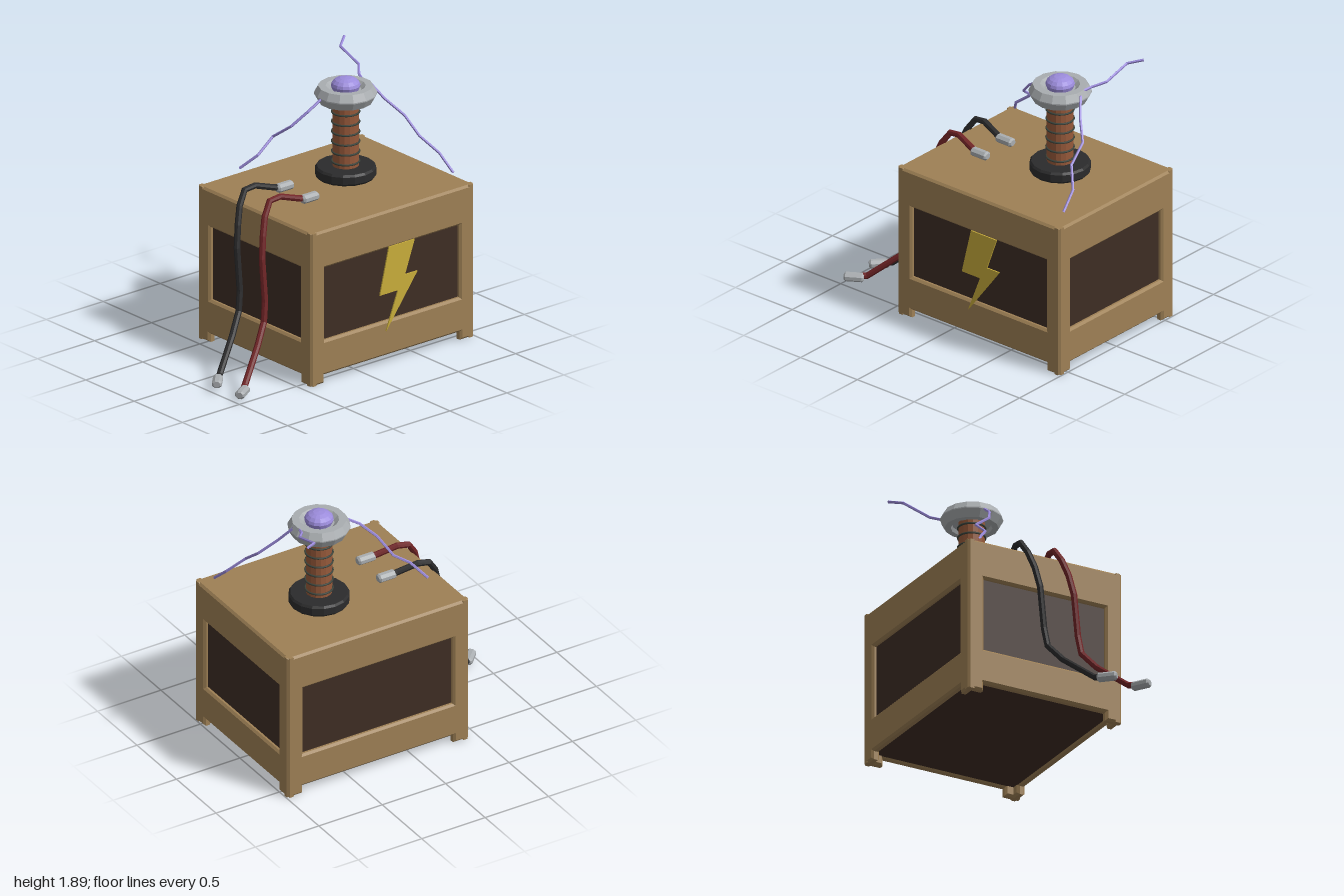
import * as THREE from 'three';

const paint = (name, color, side = THREE.FrontSide) =>
  new THREE.MeshStandardMaterial({ name, color, side });

// Faceted shading: every face keeps its own normal
function flat(geometry) {
  const g = geometry.index ? geometry.toNonIndexed() : geometry;
  g.computeVertexNormals();
  return g;
}

const points = (list) => list.map(([x, y]) => new THREE.Vector2(x, y));
const lathe = (profile, sides) => flat(new THREE.LatheGeometry(points(profile), sides));

// Tube with exactly one ring per path point, so bends stay crisp
function bentTube(path, radius, sides) {
  const curve = new THREE.CatmullRomCurve3(path.map((p) => new THREE.Vector3(...p)));
  curve.getPointAt = curve.getPoint;
  curve.getTangentAt = curve.getTangent;
  return flat(new THREE.TubeGeometry(curve, path.length - 1, radius, sides));
}

// Crate wall with two feet and a window; its outer face lies on z = 0
function wallGeometry(width) {
  const b = 0.015, h = width / 2 - b, foot = h - 0.09;
  const shape = new THREE.Shape(points([
    [-h, b], [-foot, b], [-foot, 0.075], [foot, 0.075], [foot, b], [h, b], [h, 1.1 - b], [-h, 1.1 - b],
  ]));
  const w = width / 2 - 0.108;
  shape.holes.push(new THREE.Path(points([[-w, 0.292], [-w, 0.845], [w, 0.845], [w, 0.292]])));
  const g = new THREE.ExtrudeGeometry(shape, {
    depth: 0.03, bevelEnabled: true, bevelSize: b, bevelThickness: b, bevelSegments: 1,
  });
  return g.translate(0, 0, -0.03 - b);
}

export function createModel() {
  const model = new THREE.Group();
  model.name = 'coilCrate';
  const wood = paint('wood', 0x9e8055);
  const darkWood = paint('darkWood', 0x3e2d24);
  const yellow = paint('yellow', 0xc9ad3b);
  const metal = paint('metal', 0xa9adb0);
  const copper = paint('copper', 0x96593a);
  const wire = paint('wire', 0x3c443c);
  const black = paint('black', 0x2b2b2c);
  const red = paint('red', 0x702426);
  const violet = paint('violet', 0x9c8cdc, THREE.DoubleSide);

  const add = (name, geometry, material, parent = model) => {
    const mesh = new THREE.Mesh(geometry, material);
    mesh.name = name;
    parent.add(mesh);
    return mesh;
  };

  // Crate
  const W = 1.43, D = 1.18;
  const crate = new THREE.Group();
  crate.name = 'crate';
  crate.position.set(0.28, 0, -0.01);
  model.add(crate);
  [['frontWall', W, 0, D / 2, 0], ['leftWall', D, W / 2, 0, 1],
    ['backWall', W, 0, -D / 2, 2], ['rightWall', D, -W / 2, 0, 3]].forEach(([name, w, x, z, turn]) => {
    const wall = add(name, wallGeometry(w), wood, crate);
    wall.position.set(x, 0, z);
    wall.rotation.y = turn * Math.PI / 2;
  });
  add('lid', new THREE.BoxGeometry(W - 0.03, 0.05, D - 0.03), wood, crate).position.y = 1.075;
  add('innerPanels', new THREE.BoxGeometry(W - 0.06, 1.0, D - 0.06), darkWood, crate).position.y = 0.57;

  // Lightning emblem on the front
  const bolt = new THREE.Shape(points([
    [0.23, 0.847], [0.15, 0.515], [0.31, 0.515], [0.205, 0.245], [0.48, 0.612], [0.37, 0.612], [0.455, 0.847],
  ]));
  add('boltPlate', new THREE.ExtrudeGeometry(bolt, { depth: 0.0095, bevelEnabled: false }), yellow)
    .position.z = 0.59;

  // Coil tower
  const coil = new THREE.Group();
  coil.name = 'coil';
  coil.position.set(0.43, 0, -0.087);
  model.add(coil);
  add('coilBase', lathe([[0, 1.1], [0.195, 1.1], [0.207, 1.115], [0.207, 1.165], [0.195, 1.18], [0, 1.18]], 16),
    black, coil);
  add('coilCore', flat(new THREE.CylinderGeometry(0.09, 0.09, 0.52, 16)), copper, coil).position.y = 1.43;
  for (let i = 0; i < 7; i++) {
    const ring = add('wireRing', new THREE.TorusGeometry(0.093, 0.007, 6, 20), wire, coil);
    ring.rotation.x = Math.PI / 2;
    ring.position.y = 1.21 + i * 0.071;
  }
  add('topRing', lathe([
    [0.085, 1.675], [0.13, 1.665], [0.14, 1.64], [0.182, 1.64], [0.213, 1.695], [0.213, 1.703],
    [0.185, 1.752], [0.135, 1.752], [0.105, 1.725], [0, 1.725],
  ], 14), metal, coil);
  add('dome', lathe([
    [0.09, 1.725], [0.1, 1.755], [0.093, 1.775], [0.072, 1.795], [0.04, 1.808], [0, 1.812],
  ], 14), violet, coil);

  // Electric arcs
  [
    [[0.25, 1.71, -0.1], [0.13, 1.63, -0.12], [0.03, 1.53, -0.18], [-0.02, 1.43, -0.31],
      [-0.15, 1.33, -0.31], [-0.235, 1.23, -0.4]],
    [[0.6, 1.74, -0.11], [0.625, 1.755, -0.18], [0.69, 1.785, -0.26], [0.7, 1.85, -0.46], [0.79, 1.88, -0.525]],
    [[0.625, 1.73, -0.07], [0.69, 1.62, 0.01], [0.79, 1.5, 0.1], [0.805, 1.39, 0.235],
      [0.9, 1.27, 0.33], [0.92, 1.16, 0.45]],
  ].forEach((path) => add('arc', bentTube(path, 0.01, 5), violet));

  // Cables with a clip at each end
  const clipGeometry = lathe([[0, -0.068], [0.024, -0.068], [0.036, -0.056], [0.036, 0.056], [0.024, 0.068], [0, 0.068]], 8)
    .rotateY(Math.PI / 8).rotateZ(Math.PI / 2).scale(1, 0.88, 1);
  const clip = (x, y, z, turn) => {
    const mesh = add('clip', clipGeometry, metal);
    mesh.position.set(x, y, z);
    mesh.rotation.y = turn;
  };
  [['redCable', red, 0.26, 0.55], ['blackCable', black, 0, 0.8]].forEach(([name, material, dz, turn]) => {
    const path = [
      [-0.1, 1.143, -0.12], [-0.16, 1.155, -0.13], [-0.3, 1.195, -0.163], [-0.385, 1.182, -0.172],
      [-0.447, 1.09, -0.15], [-0.488, 0.97, -0.12], [-0.517, 0.82, -0.095], [-0.517, 0.52, -0.065],
      [-0.54, 0.385, -0.05], [-0.645, 0.255, 0.008], [-0.86, 0.065, 0.13], [-0.92, 0.055, 0.175],
    ].map(([x, y, z]) => [x, y, z + dz]);
    add(name, bentTube(path, 0.022, 8), material);
    clip(-0.08, 1.145, -0.12 + dz, 0);
    clip(-0.928, 0.055, 0.188 + dz, turn);
  });

  return model;
}
